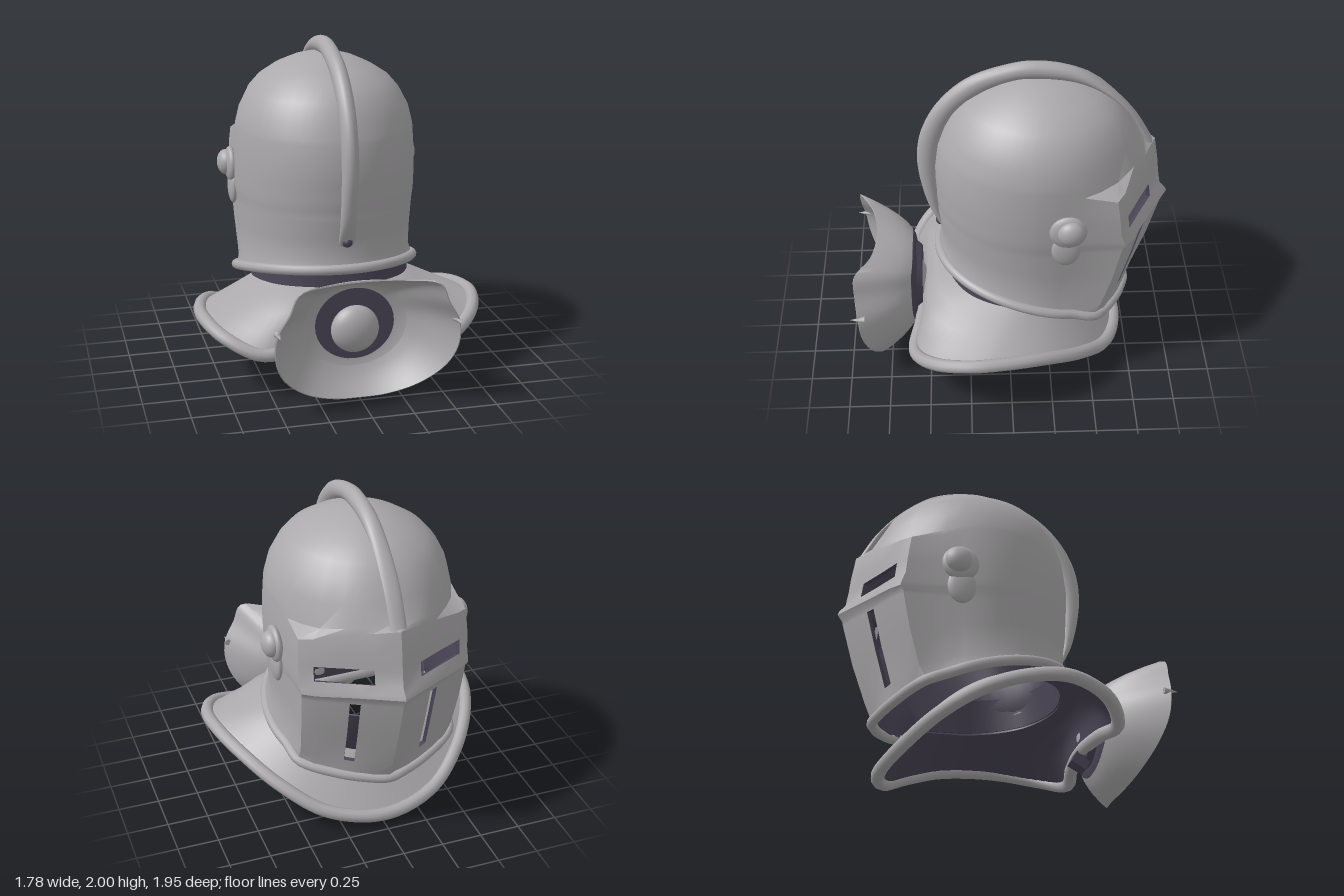
import * as THREE from 'three';
import { toCreasedNormals } from 'three/addons/utils/BufferGeometryUtils.js';

const steel = new THREE.MeshStandardMaterial({ color: 0xaba9ab });
steel.name = 'steel';
const lining = new THREE.MeshStandardMaterial({ color: 0x4a4556 });
lining.name = 'dark lining';

const V = (x, y, z) => new THREE.Vector3(x, y, z);
const lerp = THREE.MathUtils.lerp;

function addMesh(parent, name, geometry, material, pos = [0, 0, 0], scale = [1, 1, 1]) {
  const m = new THREE.Mesh(geometry, material);
  m.name = name;
  m.position.set(...pos);
  m.scale.set(...scale);
  parent.add(m);
  return m;
}

// Half outline (centre to centre) completed with its mirror image
const mirror = half => [...half, ...half.slice(1, -1).reverse().map(p => V(-p.x, p.y, p.z))];

// Smooth closed ring from a half outline
const ringCurve = half => new THREE.CatmullRomCurve3(mirror(half.map(p => V(...p))), true);
const ring = (half, n = 80) => {
  const c = ringCurve(half);
  return Array.from({ length: n }, (_, k) => c.getPoint(k / n));
};

// Skin closed rings; cells for which skip(row, column) is true stay open
function loft(rows, skip = () => false) {
  const n = rows[0].length, index = [];
  for (let i = 0; i < rows.length - 1; i++) for (let j = 0; j < n; j++) {
    if (skip(i, j)) continue;
    const a = i * n + j, b = i * n + (j + 1) % n, c = a + n, d = b + n;
    index.push(a, c, b, b, c, d);
  }
  const g = new THREE.BufferGeometry();
  g.setAttribute('position', new THREE.Float32BufferAttribute(rows.flat().flatMap(p => p.toArray()), 3));
  g.setIndex(index);
  g.computeVertexNormals();
  return g;
}

// Plate with thickness: outer skin, inner skin and the walls along open edges
function plate(parent, name, geo, outer, inner, thick, crease = 0.7) {
  addMesh(parent, name, toCreasedNormals(geo, crease), outer);
  const p = geo.attributes.position, nor = geo.attributes.normal, n = p.count;
  const pos = [...p.array, ...p.array.map((v, i) => v - thick * nor.array[i])];
  const src = [...geo.index.array], index = src.map(i => i + n).reverse(), edges = new Set();
  const eachEdge = f => src.forEach((a, i) => f(a, src[i % 3 === 2 ? i - 2 : i + 1]));
  eachEdge((a, b) => edges.add(a * n + b));
  eachEdge((a, b) => {
    if (!edges.has(b * n + a)) index.push(b, a, a + n, b, a + n, b + n);
  });
  const g = new THREE.BufferGeometry();
  g.setAttribute('position', new THREE.Float32BufferAttribute(pos, 3));
  g.setIndex(index);
  addMesh(parent, name + 'Inside', toCreasedNormals(g, crease), inner);
}

// ---- Helmet: rows of [y, half width, back z, front z, wedge, brow dip, drop toward the rim]
const MID = -0.18;
const ROWS = [
  [1.905, 0, MID, MID, 0, 0, 0],
  [1.895, 0.1, -0.07, -0.3, 0, 0, 0],
  [1.87, 0.19, 0.03, -0.4, 0, 0, 0],
  [1.82, 0.3, 0.14, -0.53, 0, 0, 0],
  [1.755, 0.4, 0.25, -0.62, 0, 0, 0],
  [1.68, 0.465, 0.32, -0.69, 0, 0, 0],
  [1.58, 0.518, 0.375, -0.75, 0, 0.03, 0],
  [1.48, 0.543, 0.41, -0.81, 0, 0.08, 0],
  [1.45, 0.547, 0.42, -0.88, 1, 0.09, 0],
  [1.3, 0.557, 0.44, -0.905, 1, 0.04, 0],
  [1.21, 0.558, 0.44, -0.915, 1, 0, 0],
  [1.12, 0.557, 0.435, -0.93, 1, 0, 0],
  [1.08, 0.555, 0.435, -0.965, 1, 0.02, 0],
  [1.055, 0.553, 0.43, -0.975, 1, 0.02, 0],
  [1.01, 0.546, 0.43, -0.945, 1, 0, 0],
  [1.00, 0.545, 0.43, -0.94, 1, 0, 0.02],
  [1.00, 0.535, 0.415, -0.87, 1, 0, 0.4],
  [1.00, 0.53, 0.41, -0.785, 0.85, 0, 0.8],
  [1.00, 0.555, 0.43, -0.74, 0.45, 0, 1],
];
const EYE_ROW = 10, BREATH_ROW = 15;
const PHI = [0, 11, 22, 33, 45, 60, 68, 76, 90];
const WEDGE_X = [1, 0.98, 0.93, 0.93, 0.8, 0.49, 0.39, 0.25, 0];
const WEDGE_Z = [0, 0.17, 0.345, 0.62, 0.69, 0.805, 0.845, 0.9, 1];
const DIP = [0, 0.2, 0.6, 1, 0.85, 0.5, 0.4, 0.25, 0];
const BACK = 12;

function helmetRow([y, w, zb, zf, wedge, dip, drop]) {
  const half = [];
  for (let j = 0; j < BACK; j++) {
    const a = (j / BACK) * Math.PI / 2;
    half.push(V(w * Math.sin(a), y, MID + (zb - MID) * Math.cos(a)));
  }
  PHI.forEach((deg, f) => {
    const a = deg * Math.PI / 180;
    const x = f === 8 ? 0 : w * lerp(Math.cos(a), WEDGE_X[f], wedge);
    half.push(V(x, y - dip * DIP[f], MID + (zf - MID) * lerp(Math.sin(a), WEDGE_Z[f], wedge)));
  });
  // the lower edge slopes down toward the chin
  for (const p of half) {
    const d = 0.43 - p.z;
    p.y = lerp(p.y, 0.7 - 0.13 * d - 0.125 * d * d, drop);
  }
  return mirror(half);
}

function buildHelmet(root) {
  const g = new THREE.Group();
  g.name = 'helmet';
  root.add(g);
  const rows = ROWS.map(helmetRow), n = rows[0].length;
  // eye slots and upright breathing slots
  const slots = (i, j) => {
    const f = (j < n / 2 ? j : n - 1 - j) - BACK;
    return (i === EYE_ROW && f >= 4 && f <= 6) || ((i === BREATH_ROW || i === BREATH_ROW + 1) && f === 5);
  };
  plate(g, 'skullAndVisor', loft(rows, slots), steel, lining, 0.025);

  const rim = new THREE.CatmullRomCurve3(rows[rows.length - 1], true);
  addMesh(g, 'helmetRim', new THREE.TubeGeometry(rim, 96, 0.031, 10, true), steel);

  // Crest: oval sections between an inner and an outer curve
  const curve = pts => new THREE.CatmullRomCurve3(pts.map(([z, y]) => V(0, y, z)));
  const outer = curve([[0.41, 0.83], [0.49, 1.0], [0.545, 1.3], [0.52, 1.52], [0.42, 1.72], [0.24, 1.89],
    [0, 1.98], [-0.16, 2.0], [-0.4, 1.95], [-0.6, 1.81], [-0.76, 1.63], [-0.87, 1.44]]);
  const inner = curve([[0.395, 0.85], [0.415, 1.0], [0.425, 1.28], [0.395, 1.48], [0.31, 1.67], [0.14, 1.81],
    [-0.05, 1.885], [-0.17, 1.89], [-0.38, 1.865], [-0.54, 1.8], [-0.69, 1.67], [-0.82, 1.44]]);
  const crest = [];
  for (let i = 0; i <= 60; i++) {
    const o = outer.getPoint(i / 60), c = inner.getPoint(i / 60);
    const mid = o.clone().add(c).multiplyScalar(0.5), up = o.clone().sub(mid);
    crest.push(Array.from({ length: 16 }, (_, k) => {
      const a = k / 16 * Math.PI * 2;
      return mid.clone().addScaledVector(up, Math.sin(a)).add(V(0.05 * Math.cos(a), 0, 0));
    }));
  }
  addMesh(g, 'crest', loft(crest.reverse().map(r => r.reverse())), steel);
  addMesh(g, 'crestHole', new THREE.SphereGeometry(0.033, 12, 8), lining, [0, 0.865, 0.415]);

  // Visor pivots on both sides
  for (const s of [-1, 1]) {
    addMesh(g, 'pivotBase', new THREE.SphereGeometry(0.11, 20, 14), steel, [s * 0.562, 1.19, -0.33], [0.35, 1, 1]);
    addMesh(g, 'pivotKnob', new THREE.SphereGeometry(0.08, 20, 14), steel, [s * 0.588, 1.2, -0.345], [0.7, 1, 1]);
    addMesh(g, 'pivotTab', new THREE.SphereGeometry(0.085, 20, 14), steel, [s * 0.552, 1.05, -0.32], [0.35, 1.3, 1]);
  }
}

// ---- Collar: flared plate with a rolled edge and a dark neck
function buildCollar(root) {
  const g = new THREE.Group();
  g.name = 'collar';
  root.add(g);
  const edgePts = [[0, 0.3, 0.53], [0.3, 0.29, 0.555], [0.55, 0.27, 0.59], [0.75, 0.35, 0.47], [0.845, 0.41, 0.25],
    [0.83, 0.41, 0.05], [0.74, 0.36, -0.2], [0.58, 0.25, -0.43], [0.34, 0.12, -0.61], [0, 0.07, -0.69]];
  const neckPts = [[0, 0.575, 0.39], [0.2, 0.58, 0.36], [0.37, 0.575, 0.26], [0.46, 0.565, 0.12], [0.49, 0.555, 0],
    [0.48, 0.54, -0.1], [0.41, 0.51, -0.22], [0.31, 0.47, -0.32], [0.17, 0.42, -0.41], [0, 0.39, -0.45]];
  const edge = ring(edgePts), neck = ring(neckPts);
  const rows = [0, 0.25, 0.5, 0.75, 1].map(t => neck.map((p, k) => {
    // the plate swells at the back
    const q = p.clone().lerp(edge[k], t), swell = Math.sin(Math.PI * t) * THREE.MathUtils.smoothstep(p.z, 0, 0.36);
    return q.add(V(0, 0.06 * swell, 0.05 * swell));
  }));
  plate(g, 'collarPlate', loft(rows), steel, lining, 0.015);
  addMesh(g, 'collarRim', new THREE.TubeGeometry(ringCurve(edgePts), 120, 0.04, 10, true), steel);
  // the neck rises into the helmet and widens toward the chin
  const top = neck.map(p => V(p.x * 0.96, 0.77 + 0.05 * p.z, p.z * (p.z < 0 ? 1.4 : 0.95)));
  plate(g, 'neckBand', loft([top, neck]), lining, lining, 0.01);
}

// ---- Rear guard: curved dish with a round boss
function buildRearGuard(root) {
  const g = new THREE.Group();
  g.name = 'rearGuard';
  root.add(g);
  const outline = ring([[0, 0.755, 0.82], [0.24, 0.755, 0.855], [0.41, 0.75, 0.945], [0.46, 0.64, 0.945],
    [0.53, 0.51, 0.93], [0.535, 0.36, 0.91], [0.48, 0.22, 0.86], [0.34, 0.09, 0.79], [0.16, 0.02, 0.74],
    [0, 0.005, 0.72]], 72);
  // s runs from the hub (0) to the outline (1)
  const dishRow = s => outline.map(p => {
    const a = Math.atan2(p.y - 0.42, p.x);
    const x = 0.235 * Math.cos(a), y = 0.42 + 0.215 * Math.sin(a);
    return V(lerp(x, p.x, s), lerp(y, p.y, s), lerp(0.585, p.z, Math.pow(s, 1.8)));
  });
  plate(g, 'dish', loft([1, 0.85, 0.7, 0.55, 0.4, 0.25].map(dishRow)), steel, steel, 0.008, 1.5);
  plate(g, 'dishHub', loft([0.25, 0.12, 0].map(dishRow)), steel, lining, 0.008, 1.5);
  const seat = addMesh(g, 'bossSeat', new THREE.CylinderGeometry(0.24, 0.2, 0.05, 36), lining, [0, 0.42, 0.57], [1, 1, 0.92]);
  seat.rotation.x = Math.PI / 2;
  addMesh(g, 'boss', new THREE.SphereGeometry(0.145, 28, 20), steel, [0, 0.39, 0.6], [1, 1, 0.6]);
  const stub = addMesh(g, 'mountingBlock', new THREE.BoxGeometry(0.1, 0.08, 0.1), lining, [0, 0.23, 0.52]);
  stub.rotation.x = 0.5;
  for (const s of [-1, 1]) {
    const spike = addMesh(g, 'spike', new THREE.ConeGeometry(0.022, 0.09, 8), steel, [s * 0.525, 0.515, 0.93]);
    spike.rotation.x = Math.PI / 2;
  }
}

export function createModel() {
  const root = new THREE.Group();
  root.name = 'knightHelmet';
  buildHelmet(root);
  buildCollar(root);
  buildRearGuard(root);
  return root;
}
